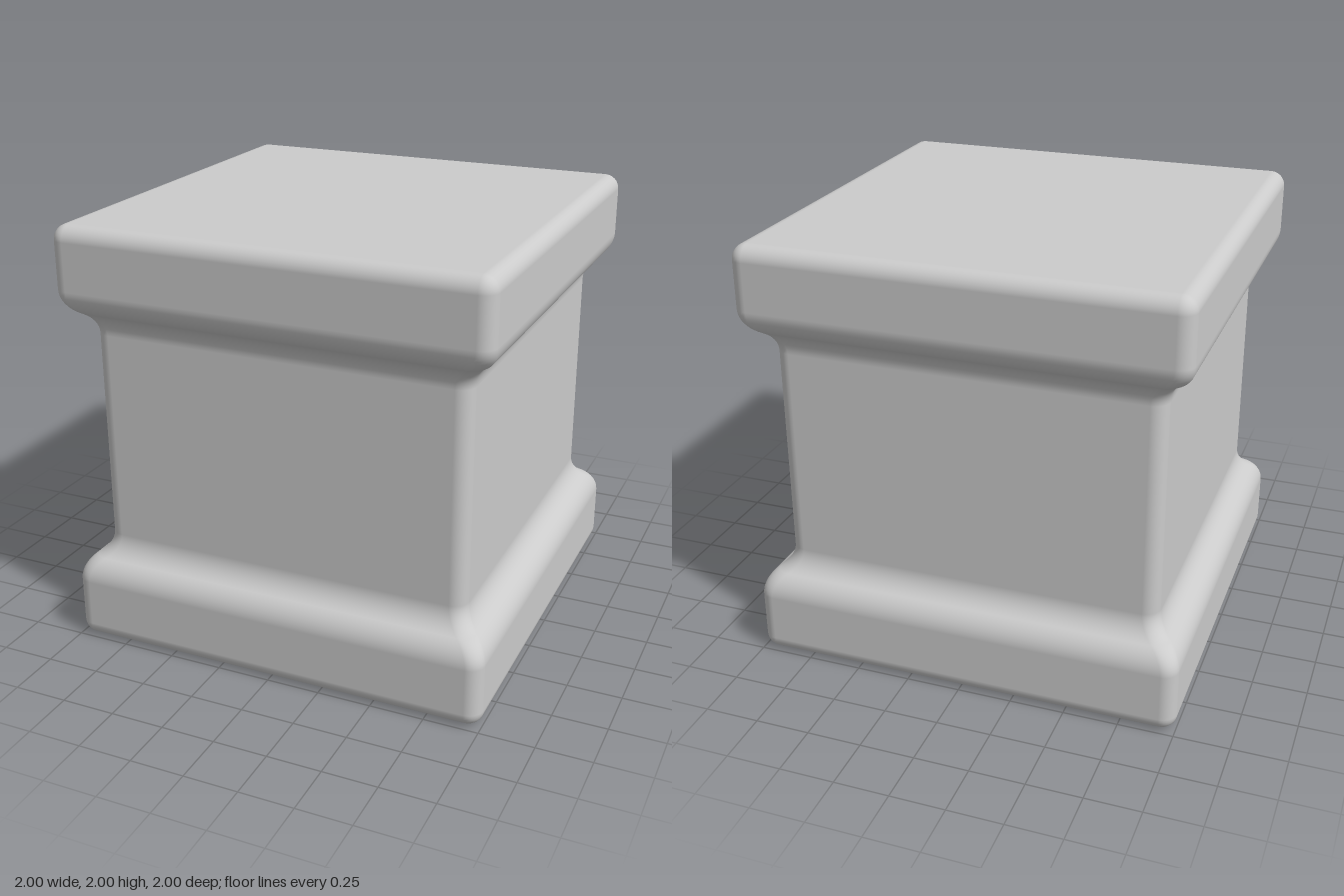
import * as THREE from 'three';

const R = 0.07;      // edge rounding
const STEPS = 8;     // segments per rounded edge

// One level: c = half-width to the corner centre, r = corner radius, nr/ny = profile normal,
// mitred = corner centre moves with the profile
function profileRows() {
  const rows = [{ c: 0, r: 0, y: 0, nr: 0, ny: -1 }];

  // rounded bottom edge
  for (let i = 0; i <= STEPS; i++) {
    const a = (i / STEPS) * Math.PI / 2;
    rows.push({ c: 1 - R, r: R * Math.sin(a), y: R - R * Math.cos(a), nr: Math.sin(a), ny: -Math.cos(a) });
  }

  // S-shaped moulding: convex arc, then concave arc
  const rad = 0.131, sweep = Math.asin(0.11 / rad);
  for (let i = 0; i <= 2 * STEPS; i++) {
    const convex = i <= STEPS;
    const a = sweep * (convex ? i : 2 * STEPS - i) / STEPS;
    const inset = rad * (1 - Math.cos(a)), rise = rad * Math.sin(a);
    const h = convex ? 1 - inset : 0.88 + inset;
    rows.push({ c: h - R, r: R, y: convex ? 0.29 + rise : 0.51 - rise, nr: Math.cos(a), ny: Math.sin(a), mitred: true });
  }

  // upper half mirrors the lower half
  return rows.concat(rows.map(p => ({ ...p, y: 2 - p.y, ny: -p.ny })).reverse());
}

// Loft of rounded squares through all levels
function loftRoundedSquare(rows) {
  const positions = [], normals = [], index = [];
  const ring = 4 * (STEPS + 1);
  const n = new THREE.Vector3();
  for (const { c, r, y, nr, ny, mitred } of rows) {
    for (let q = 0; q < 4; q++) {
      const sx = q === 0 || q === 3 ? 1 : -1, sz = q < 2 ? 1 : -1;
      for (let i = 0; i <= STEPS; i++) {
        const a = (q + i / STEPS) * Math.PI / 2;
        const cos = Math.cos(a), sin = Math.sin(a);
        positions.push(sx * c + r * cos, y, sz * c + r * sin);
        n.set(nr * cos, ny * (mitred ? Math.abs(cos) + Math.abs(sin) : 1), nr * sin).normalize();
        normals.push(n.x, n.y, n.z);
      }
    }
  }
  for (let j = 0; j < rows.length - 1; j++) {
    for (let i = 0; i < ring; i++) {
      const k = (i + 1) % ring;
      const a = j * ring + i, b = a + ring, d = j * ring + k, e = d + ring;
      index.push(a, b, d, b, e, d);
    }
  }
  const g = new THREE.BufferGeometry();
  g.setAttribute('position', new THREE.Float32BufferAttribute(positions, 3));
  g.setAttribute('normal', new THREE.Float32BufferAttribute(normals, 3));
  g.setIndex(index);
  return g;
}

export function createModel() {
  const group = new THREE.Group();
  group.name = 'pedestal';
  const block = new THREE.Mesh(
    loftRoundedSquare(profileRows()),
    new THREE.MeshStandardMaterial({ color: 0xcccccc })
  );
  block.name = 'mouldedBlock';
  group.add(block);
  return group;
}
